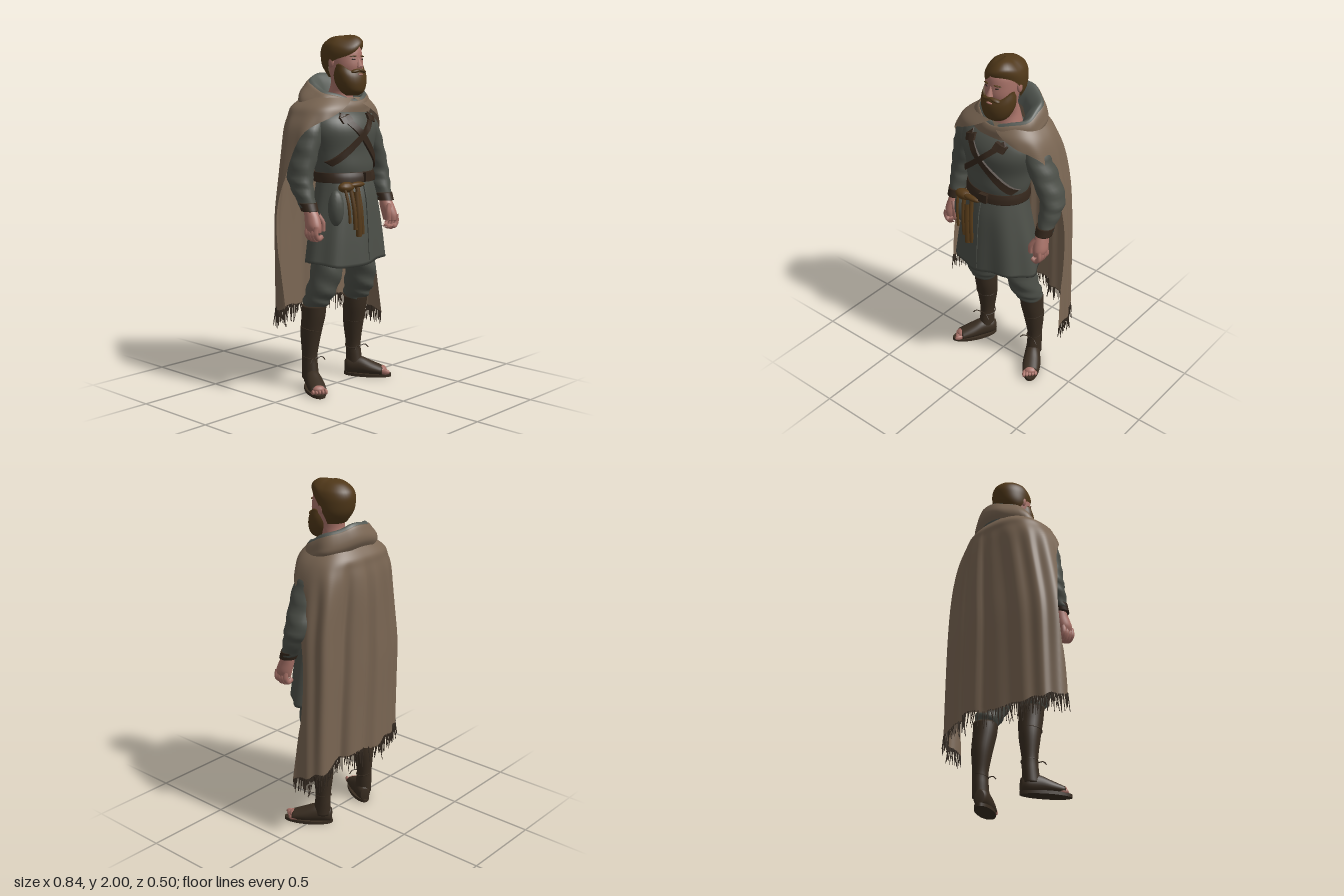
import * as THREE from 'three';
import { mergeGeometries, mergeVertices } from 'three/addons/utils/BufferGeometryUtils.js';

const mat = (name, color, side = THREE.FrontSide) => new THREE.MeshStandardMaterial({ name, color, side });
const M = {
  cloak: mat('cloak wool', 0x7a6653, THREE.DoubleSide),
  lining: mat('hood lining', 0x555a54, THREE.DoubleSide),
  tunic: mat('tunic cloth', 0x4c4f48),
  skin: mat('skin', 0xa87268),
  hair: mat('hair', 0x503819, THREE.DoubleSide),
  boot: mat('boot leather', 0x392d21),
  belt: mat('belt leather', 0x35271c),
  pouch: mat('pouch leather', 0x573b19),
  fringe: mat('fringe threads', 0x3a2f25),
  eye: mat('eyes', 0x3a2822),
};

// Smooth lookup in rows of [y, cx, cz, rx, rz, sweep in degrees]
function sample(rows, t) {
  const f = t * (rows.length - 1), i = Math.min(Math.floor(f), rows.length - 2), s = f - i;
  const at = (k) => rows[Math.max(0, Math.min(rows.length - 1, k))];
  return [0, 1, 2, 3, 4, 5].map((c) => {
    const [a, b, d, e] = [i - 1, i, i + 1, i + 2].map((k) => at(k)[c] ?? 180);
    return b + 0.5 * s * (d - a + s * (2 * a - 5 * b + 4 * d - e + s * (3 * (b - d) + e - a)));
  });
}

// Point on a wrapped surface; u runs -1..1 around from the back, t runs 0..1 down the rows
const surface = (rows, { power = 1, rule } = {}) => (u, t) => {
  const [y, cx, cz, rx, rz, sweep] = sample(rows, t);
  const th = u * Math.min(sweep, 180) * Math.PI / 180;
  const bend = (v) => Math.sign(v) * Math.abs(v) ** power;
  const p = new THREE.Vector3(cx + rx * bend(Math.sin(th)), y, cz - rz * bend(Math.cos(th)));
  if (rule) rule(p, th, t, u);
  return p;
};

function shellGeometry(rows, opts = {}) {
  const { n = 28, m = rows.length * 4, cap = true } = opts, f = surface(rows, opts);
  const pos = [], idx = [];
  for (let j = 0; j <= m; j++) for (let i = 0; i <= n; i++) pos.push(...f(2 * i / n - 1, j / m).toArray());
  for (let j = 0; j < m; j++) for (let i = 0; i < n; i++) {
    const a = j * (n + 1) + i, b = a + n + 1;
    idx.push(a, a + 1, b, a + 1, b + 1, b);
  }
  if (cap) for (const [j, row] of [[0, rows[0]], [m, rows[rows.length - 1]]]) {
    const c = pos.length / 3, k = j * (n + 1);
    pos.push(row[1], pos[k * 3 + 1], row[2]);
    for (let i = 0; i < n; i++) j ? idx.push(c, k + i, k + i + 1) : idx.push(c, k + i + 1, k + i);
  }
  let g = new THREE.BufferGeometry();
  g.setAttribute('position', new THREE.Float32BufferAttribute(pos, 3));
  g.setIndex(idx);
  g = mergeVertices(g, 1e-5);
  g.computeVertexNormals();
  return g;
}

export function createModel() {
  const root = new THREE.Group();
  root.name = 'cloakedTraveller';
  const add = (name, geo, material, parent = root) => {
    const mesh = new THREE.Mesh(geo, material);
    mesh.name = name;
    parent.add(mesh);
    return mesh;
  };
  const shell = (name, rows, material, opts, parent) => add(name, shellGeometry(rows, opts), material, parent);
  const ball = (name, material, [x, y, z], [a, b, c], parent) => {
    const mesh = add(name, new THREE.SphereGeometry(1, 14, 10), material, parent);
    mesh.position.set(x, y, z);
    mesh.scale.set(a, b, c);
    return mesh;
  };
  const tube = (name, pts, r, material, parent) => add(name, new THREE.TubeGeometry(
    new THREE.CatmullRomCurve3(pts.map((p) => new THREE.Vector3(...p))), 14, r, 6), material, parent);
  let seed = 7;
  const rand = () => (seed = (seed * 16807) % 2147483647) / 2147483647;
  const bump = (v, c, w) => Math.exp(-(((v - c) / w) ** 2));

  // Tunic: chest, bloused waist and flared skirt
  const chest = [[1.62, 0.01, 0, 0.12, 0.09], [1.56, 0, 0.02, 0.21, 0.14], [1.48, 0, 0.03, 0.235, 0.165],
    [1.37, 0, 0.035, 0.207, 0.153], [1.28, 0.003, 0.045, 0.192, 0.148], [1.22, 0.005, 0.05, 0.175, 0.135]];
  const skirt = [[1.22, 0.005, 0.05, 0.175, 0.135], [1.1, 0.005, 0.06, 0.2, 0.155], [0.92, 0.005, 0.06, 0.24, 0.17],
    [0.74, 0.005, 0.06, 0.27, 0.18]];
  shell('tunicChest', chest, M.tunic, { n: 36 });
  shell('tunicSkirt', skirt, M.tunic, {
    n: 60, m: 20, rule: (p, th, t) => {
      const f = 0.009 * t * Math.sin(8 * th + 1);
      p.x += Math.sin(th) * f; p.z -= Math.cos(th) * f; p.y += 0.012 * t * Math.sin(3 * th);
    },
  });
  const frontZ = (x, y) => {
    const rows = y > 1.22 ? chest : skirt;
    let k = 0;
    while (k < rows.length - 2 && rows[k + 1][0] > y) k++;
    const s = (rows[k][0] - y) / (rows[k][0] - rows[k + 1][0]);
    const [, cx, cz, rx, rz] = rows[k].map((v, i) => v + s * (rows[k + 1][i] - v));
    return cz + rz * Math.sqrt(Math.max(0, 1 - ((x - cx) / rx) ** 2));
  };
  // Band laid over the front of the tunic
  const band = (name, x0, y0, x1, y1, w, thick, material) => {
    const g = new THREE.BoxGeometry(Math.hypot(x1 - x0, y1 - y0), w, thick, 18, 1, 1);
    g.rotateZ(Math.atan2(y1 - y0, x1 - x0)).translate((x0 + x1) / 2, (y0 + y1) / 2, 0);
    const p = g.attributes.position;
    for (let i = 0; i < p.count; i++) p.setZ(i, p.getZ(i) + frontZ(p.getX(i), p.getY(i)) + 0.004);
    g.computeVertexNormals();
    add(name, g, material);
  };
  band('chestStrap', -0.12, 1.565, 0.175, 1.27, 0.038, 0.02, M.belt);
  band('chestStrap', 0.12, 1.565, -0.18, 1.3, 0.03, 0.026, M.belt);
  for (const s of [-1, 1]) band('shoulderBuckle', s * 0.1 - 0.03, 1.545 + s * 0.01, s * 0.1 + 0.035, 1.545 - s * 0.01, 0.034, 0.034, M.belt);
  band('skirtOverlap', 0.0, 1.19, 0.0, 0.76, 0.006, 0.014, M.tunic);
  shell('waistBelt', [[1.25, 0.005, 0.047, 0.19, 0.146], [1.225, 0.005, 0.05, 0.193, 0.152],
    [1.195, 0.005, 0.052, 0.194, 0.154]], M.belt, { n: 36 });
  band('beltBuckle', 0.0, 1.222, 0.05, 1.222, 0.05, 0.05, M.belt);

  // Pouches and hanging thongs on the right hip
  ball('hipBag', M.tunic, [-0.175, 1.06, 0.155], [0.045, 0.1, 0.045]);
  ball('leatherPouch', M.pouch, [-0.13, 1.175, 0.19], [0.055, 0.03, 0.035]);
  ball('pouchFlap', M.pouch, [-0.06, 1.185, 0.205], [0.06, 0.016, 0.02]);
  for (const [x, len, r] of [[-0.105, 0.24, 0.012], [-0.05, 0.27, 0.013], [-0.15, 0.2, 0.008]])
    tube('hangingThong', [[x - 0.01, 1.18, 0.205], [x, 1.18 - len / 2, 0.226], [x + 0.008, 1.18 - len, 0.23]], r, M.pouch);
  tube('knifeSheath', [[-0.08, 1.15, 0.22], [-0.075, 1.03, 0.23], [-0.07, 0.9, 0.232]], 0.017, M.pouch);

  for (const s of [-1, 1]) {
    const side = s < 0 ? 'right' : 'left', d = s < 0 ? 0 : 0.045;
    // Sleeve, cuff and hand
    shell(side + 'Sleeve', [[1.56, s * 0.2, -0.005, 0.06, 0.07], [1.48, s * 0.235, 0, 0.075, 0.088],
      [1.36, s * 0.265 + d * 0.5, 0, 0.072, 0.084], [1.24, s * 0.292 + d, -0.005, 0.066, 0.08],
      [1.16, s * 0.297 + d, 0.02, 0.058, 0.066], [1.07, s * 0.295 + d, 0.06, 0.046, 0.046]], M.tunic,
      { rule: (p, th, t) => { p.x += 0.004 * Math.sin(t * 38 + th); } });
    shell(side + 'Cuff', [[1.095, s * 0.295 + d, 0.054, 0.051, 0.052], [1.05, s * 0.295 + d, 0.072, 0.048, 0.049]], M.belt);
    const hand = new THREE.Group();
    hand.name = side + 'Hand';
    hand.position.set(s * 0.292 + d, 0, 0);
    root.add(hand);
    shell('palm', [[1.06, 0, 0.07, 0.033, 0.035], [1.02, 0, 0.085, 0.038, 0.045], [0.97, s * 0.005, 0.1, 0.039, 0.049],
      [0.935, s * 0.003, 0.105, 0.03, 0.044]], M.skin, {}, hand);
    for (let i = 0; i < 4; i++) {
      const z = 0.072 + i * 0.022, drop = 0.008 * Math.abs(i - 1.5);
      tube('finger', [[s * 0.02, 0.97, z], [s * 0.024, 0.925, z], [s * 0.004, 0.89 + drop, z], [-s * 0.022, 0.9 + drop, z]],
        0.0145, M.skin, hand);
    }
    tube('thumb', [[-s * 0.015, 1.03, 0.115], [-s * 0.037, 0.985, 0.13], [-s * 0.038, 0.94, 0.13]], 0.015, M.skin, hand);

    // Baggy trousers and tall boots
    const o = 0.014, x = (v) => s * v + o;
    shell(side + 'TrouserLeg', [[0.85, x(0.11), 0.04, 0.105, 0.1], [0.7, x(0.14), 0.04, 0.092, 0.09],
      [0.58, x(0.16), 0.015, 0.086, 0.088], [0.51, x(0.17), -0.015, 0.076, 0.078], [0.47, x(0.175), -0.025, 0.058, 0.06]],
      M.tunic, { rule: (p, th, t) => { p.z += 0.006 * Math.sin(t * 26 + 2 * th); } });
    shell(side + 'BootShaft', [[0.49, x(0.175), -0.028, 0.068, 0.072], [0.42, x(0.175), -0.035, 0.065, 0.07],
      [0.32, x(0.18), -0.05, 0.057, 0.062], [0.2, x(0.185), -0.055, 0.042, 0.047], [0.13, x(0.186), -0.052, 0.042, 0.049],
      [0.06, x(0.188), -0.045, 0.044, 0.053]], M.boot);
    for (const [y, r, z] of [[0.18, 0.045, -0.055], [0.35, 0.061, -0.045]]) {
      const lace = add(side + 'BootLace', new THREE.TorusGeometry(r, 0.003, 5, 22), M.boot);
      lace.position.set(x(0.182), y, z);
      lace.rotation.set(Math.PI / 2 + 0.15, s * 0.15, 0);
    }
    for (const k of [-1, 1])
      tube(side + 'LaceEnd', [[x(0.186), 0.18, -0.01], [x(0.186) + k * 0.04, 0.185, 0.005], [x(0.186) + k * 0.06, 0.165, 0.01]],
        0.003, M.boot);
    const foot = new THREE.Group();
    foot.name = side + 'Foot';
    foot.position.set(x(0.185), 0, -0.04);
    foot.rotation.y = s * 0.56;
    root.add(foot);
    const upper = shellGeometry([[0.17, 0, -0.034, 0.046, 0.026], [0.1, 0, -0.045, 0.051, 0.042], [0.03, 0, -0.057, 0.046, 0.057],
      [-0.03, 0, -0.057, 0.041, 0.052], [-0.06, 0, -0.05, 0.026, 0.04]], {}).rotateX(Math.PI / 2);
    add('bootUpper', upper, M.boot, foot);
    const sole = add('bootSole', new THREE.CylinderGeometry(1, 1, 0.018, 28), M.boot, foot);
    sole.scale.set(0.053, 1, 0.143);
    sole.position.set(0, 0.009, 0.076);
    ball('toeArch', M.skin, [0, 0.042, 0.16], [0.038, 0.021, 0.03], foot);
    for (let i = 0; i < 5; i++)
      ball('toe', M.skin, [s * (i - 2) * 0.017, 0.032 - 0.0015 * i, 0.188 - 0.007 * i], [0.011, 0.016, 0.028], foot);
  }

  // Neck, head and face
  const hx = 0.027;
  shell('headAndNeck', [[1.97, hx, 0.015, 0.05, 0.06], [1.93, hx, 0.025, 0.083, 0.1], [1.87, hx, 0.035, 0.09, 0.104],
    [1.81, hx, 0.042, 0.086, 0.099], [1.74, hx, 0.03, 0.07, 0.08], [1.68, hx, 0, 0.068, 0.07], [1.6, hx, 0, 0.09, 0.085]], M.skin);
  const nose = add('nose', new THREE.ConeGeometry(0.02, 0.062, 8), M.skin);
  nose.position.set(hx, 1.855, 0.14);
  nose.rotation.x = -0.2;
  ball('noseTip', M.skin, [hx, 1.833, 0.145], [0.016, 0.011, 0.013]);
  ball('lowerLip', M.skin, [hx, 1.785, 0.152], [0.02, 0.005, 0.007]);
  for (const s of [-1, 1]) {
    ball('eye', M.eye, [hx + s * 0.035, 1.868, 0.131], [0.012, 0.005, 0.004]).rotation.y = s * 0.35;
    ball('eyebrow', M.hair, [hx + s * 0.037, 1.884, 0.13], [0.022, 0.004, 0.007]).rotation.set(0, s * 0.4, -s * 0.1);
    ball('ear', M.skin, [hx + s * 0.094, 1.855, 0.015], [0.012, 0.032, 0.02]);
    ball('moustache', M.hair, [hx + s * 0.022, 1.805, 0.136], [0.036, 0.011, 0.02]).rotation.z = -s * 0.2;
  }
  shell('beard', [[1.8, hx, 0.068, 0.09, 0.077], [1.77, hx, 0.073, 0.1, 0.083], [1.73, hx, 0.08, 0.094, 0.079],
    [1.69, hx, 0.09, 0.07, 0.06], [1.668, hx, 0.09, 0.035, 0.03]], M.hair,
    { rule: (p, th, t) => { p.y += 0.045 * (1 - t) ** 2 * Math.sin(th) ** 4; } });
  shell('hair', [[2.0, hx, 0.02, 0.003, 0.004], [1.99, hx, 0.02, 0.052, 0.072], [1.96, hx, 0.018, 0.088, 0.115],
    [1.93, hx, 0.013, 0.102, 0.128, 176], [1.89, hx, 0.004, 0.106, 0.121, 122], [1.83, hx, -0.002, 0.1, 0.1, 92],
    [1.77, hx, 0, 0.072, 0.06, 84]], M.hair,
    { n: 40, cap: false, rule: (p, th, t) => { p.y -= 0.045 * Math.max(0, -Math.cos(th)) * Math.sin(-th) * Math.sin(Math.PI * t); } });

  // Rolled hood, raised behind the neck
  const tilt = (p, th) => {
    p.y += 0.066 * Math.cos(th) + 0.005 * Math.sin(5 * th + 1);
    p.x += 0.005 * Math.sin(7 * th);
  };
  shell('hoodOuter', [[1.7, 0.035, -0.025, 0.165, 0.14], [1.71, 0.03, -0.025, 0.18, 0.153], [1.685, 0.025, -0.025, 0.2, 0.166],
    [1.65, 0.015, -0.03, 0.22, 0.172], [1.62, 0.01, -0.03, 0.23, 0.17], [1.59, 0, -0.03, 0.225, 0.155]], M.cloak, { n: 48, cap: false, rule: tilt });
  shell('hoodLining', [[1.7, 0.03, -0.025, 0.187, 0.157], [1.722, 0.035, -0.025, 0.166, 0.138], [1.71, 0.035, -0.02, 0.14, 0.116],
    [1.67, 0.03, -0.01, 0.11, 0.1], [1.61, 0.03, 0, 0.095, 0.09]], M.lining, { n: 48, cap: false, rule: tilt });

  // Long cloak, open at the front, with deep back folds and a slanting hem
  const cloakRows = [[1.66, 0.01, -0.03, 0.19, 0.14, 180], [1.61, 0, -0.03, 0.25, 0.18, 166], [1.56, 0, -0.03, 0.282, 0.19, 146],
    [1.49, -0.005, -0.035, 0.312, 0.195, 112], [1.38, -0.005, -0.04, 0.337, 0.195, 96], [1.2, -0.005, -0.045, 0.37, 0.19, 90],
    [1.0, -0.01, -0.05, 0.392, 0.185, 86], [0.75, -0.005, -0.05, 0.4, 0.18, 90], [0.47, 0, -0.05, 0.405, 0.175, 98]];
  const cloakOpts = {
    n: 130, m: 44, cap: false, power: 0.75, rule: (p, th, t, u) => {
      const a = THREE.MathUtils.smoothstep(t, 0.12, 0.6);
      const folds = 0.006 * Math.sin(7 * th + 1) + 0.006 * Math.sin(13 * th + 3 * t) + 0.014 * bump(th, 0.2, 0.15)
        - 0.03 * bump(th, 0.02, 0.04) - 0.03 * bump(th, 0.45, 0.1) + 0.018 * bump(th, 0.85, 0.25) - 0.028 * bump(th, -0.85, 0.4);
      p.x += Math.sin(th) * folds * a;
      p.z -= Math.cos(th) * folds * a;
      const hem = 0.44 - 0.06 * u + 0.05 * bump(u, 0.2, 0.2) - 0.03 * bump(u, 1, 0.25) + 0.008 * Math.sin(23 * u);
      if (p.y < 1.3) p.y = 1.3 - (1.3 - p.y) * (1.3 - hem) / 0.83;
    },
  };
  shell('cloak', cloakRows, M.cloak, cloakOpts);
  const hemPoint = surface(cloakRows, cloakOpts), threads = [];
  for (let i = 0; i < 130; i++) {
    const p = hemPoint(2 * (i + rand() * 0.7) / 130 - 1, 1), len = 0.05 + 0.06 * rand();
    const g = new THREE.CylinderGeometry(0.0045, 0.002, len, 4);
    g.translate(0, 0.008 - len / 2, 0).rotateZ((rand() - 0.5) * 0.3).rotateX((rand() - 0.5) * 0.3);
    threads.push(g.translate(p.x, p.y, p.z));
  }
  add('cloakFringe', mergeGeometries(threads), M.fringe);
  return root;
}
